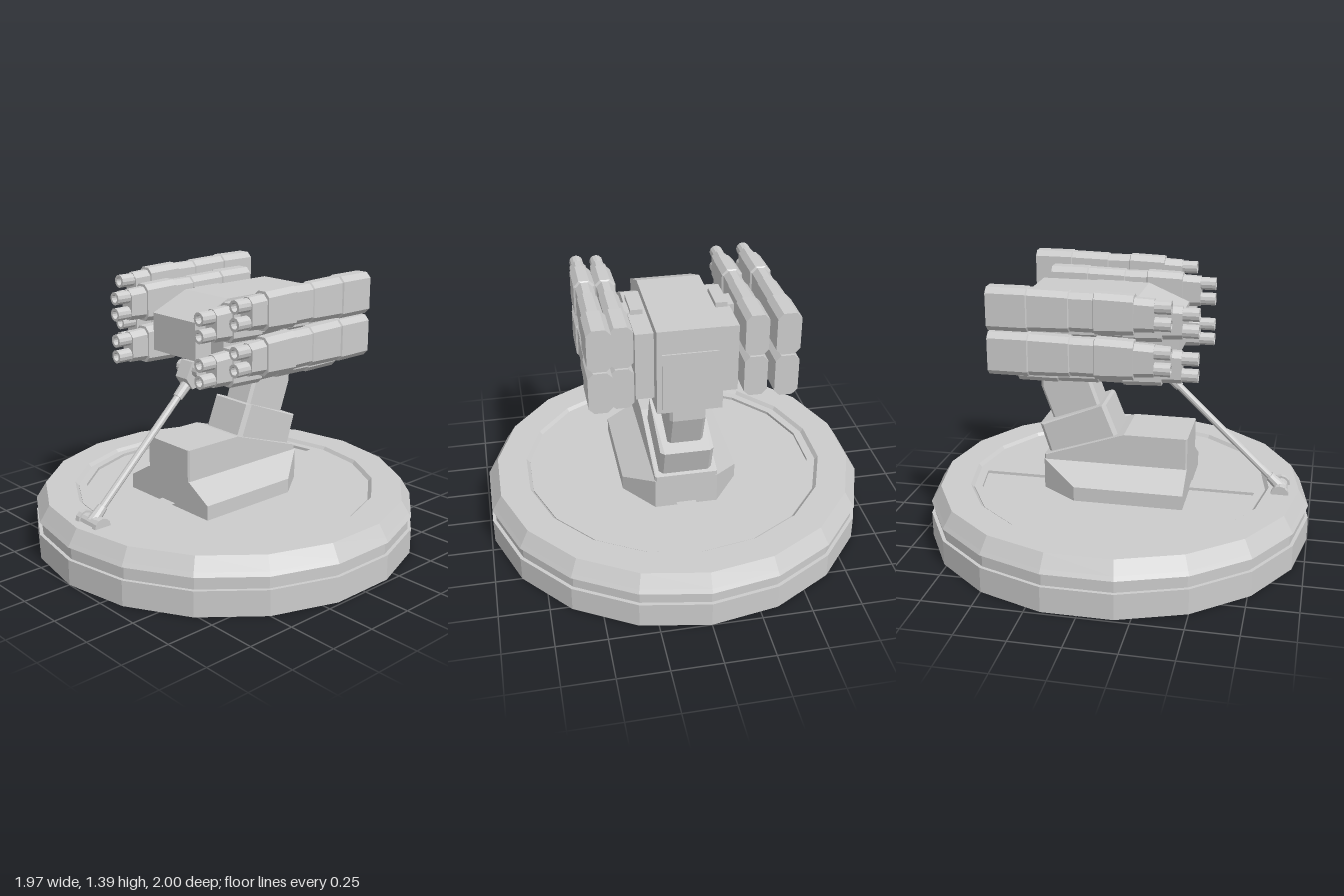
import * as THREE from 'three';
import { ConvexGeometry } from 'three/addons/geometries/ConvexGeometry.js';

const mat = new THREE.MeshStandardMaterial({ color: 0xcccccc, flatShading: true });
const matDouble = new THREE.MeshStandardMaterial({ color: 0xcccccc, flatShading: true, side: THREE.DoubleSide });

function add(parent, name, geometry, material = mat) {
  const mesh = new THREE.Mesh(geometry, material);
  mesh.name = name;
  parent.add(mesh);
  return mesh;
}

function box(parent, name, w, h, d, x, y, z) {
  return add(parent, name, new THREE.BoxGeometry(w, h, d).translate(x, y, z));
}

// Convex slab from a side profile of [z, y] points between x0 and x1
function slab(parent, name, profile, x0, x1) {
  const pts = [];
  for (const [z, y] of profile) pts.push(new THREE.Vector3(x0, y, z), new THREE.Vector3(x1, y, z));
  return add(parent, name, new ConvexGeometry(pts));
}

// Same, with bevelled long edges: full size in the middle, profile shrunk at the sides
function bevelSlab(parent, name, profile, half, bevel) {
  const cz = profile.reduce((s, p) => s + p[0], 0) / profile.length;
  const pts = [];
  for (const [z, y] of profile) {
    const zi = z - Math.sign(z - cz) * bevel;
    for (const s of [-1, 1]) {
      pts.push(new THREE.Vector3(s * (half - bevel), y, z), new THREE.Vector3(s * half, y, zi));
    }
  }
  return add(parent, name, new ConvexGeometry(pts));
}

// Cylinder between two points
function rod(parent, name, a, b, r0, r1, sides) {
  const dir = b.clone().sub(a);
  const mesh = add(parent, name, new THREE.CylinderGeometry(r1, r0, dir.length(), sides));
  mesh.position.copy(a).add(b).multiplyScalar(0.5);
  mesh.quaternion.setFromUnitVectors(new THREE.Vector3(0, 1, 0), dir.normalize());
  return mesh;
}

// Octagonal loft along z, stations are [z, halfWidth, halfHeight]
function octLoft(stations) {
  const pos = [], idx = [];
  for (const [z, w, h] of stations) {
    const c = 0.026;
    const ring = [[w, -h + c], [w, h - c], [w - c, h], [-w + c, h], [-w, h - c], [-w, -h + c], [-w + c, -h], [w - c, -h]];
    for (const [x, y] of ring) pos.push(x, y, z);
  }
  const n = stations.length;
  for (let s = 0; s < n - 1; s++) {
    for (let i = 0; i < 8; i++) {
      const a = s * 8 + i, b = s * 8 + (i + 1) % 8;
      idx.push(a, b, b + 8, a, b + 8, a + 8);
    }
  }
  const e = (n - 1) * 8;
  for (let i = 1; i < 7; i++) idx.push(0, i + 1, i, e, e + i, e + i + 1);
  const g = new THREE.BufferGeometry();
  g.setAttribute('position', new THREE.Float32BufferAttribute(pos, 3));
  g.setIndex(idx);
  g.computeVertexNormals();
  return g;
}

// Round turntable with groove, bevelled lip and recessed deck
function buildBase() {
  const base = new THREE.Group();
  base.name = 'base';
  const profile = [[0, 0], [1, 0], [1, 0.13], [0.982, 0.13], [0.982, 0.195], [0.998, 0.195], [0.985, 0.215],
    [0.945, 0.28], [0.79, 0.28], [0.775, 0.262], [0.765, 0.25], [0, 0.25]].map(p => new THREE.Vector2(...p));
  add(base, 'turntable', new THREE.LatheGeometry(profile, 18), matDouble);

  // Deck frame with two sunken half-round panels and a bar between them
  const outline = r => Array.from({ length: 18 }, (_, i) =>
    new THREE.Vector2(r * Math.sin(i * Math.PI / 9), r * Math.cos(i * Math.PI / 9)));
  const deck = new THREE.Shape(outline(0.772));
  const inner = outline(0.73);
  for (const s of [1, -1]) {
    const pts = inner.slice(1, 9).map(p => new THREE.Vector2(s * p.x, p.y));
    pts.unshift(new THREE.Vector2(s * 0.05, 0.721));
    pts.push(new THREE.Vector2(s * 0.05, -0.721));
    deck.holes.push(new THREE.Path(pts));
  }
  const g = new THREE.ExtrudeGeometry(deck, { depth: 0.017, bevelEnabled: false });
  add(base, 'deckFrame', g.rotateX(-Math.PI / 2).translate(0, 0.248, 0));
  return base;
}

// Pedestal with flared feet and the two-stage leaning arm
function buildPedestal() {
  const group = new THREE.Group();
  group.name = 'pedestal';
  bevelSlab(group, 'pedestalBody', [[0.38, 0.25], [0.38, 0.575], [0.06, 0.575], [-0.37, 0.435], [-0.37, 0.25]], 0.16, 0.008);
  const feet = [];
  for (const s of [-1, 1]) {
    for (const [x, y, z] of [[0.3, 0.25, 0.38], [0.3, 0.325, 0.38], [0.3, 0.25, -0.18], [0.3, 0.325, -0.18],
      [0.16, 0.25, -0.37], [0.16, 0.41, -0.37], [0.16, 0.41, 0.38]]) feet.push(new THREE.Vector3(s * x, y, z));
  }
  add(group, 'flaredFeet', new ConvexGeometry(feet));
  bevelSlab(group, 'lowerArm', [[-0.05, 0.715], [-0.4, 0.59], [-0.345, 0.42], [0.02, 0.54]], 0.135, 0.02);
  bevelSlab(group, 'upperArm', [[-0.08, 0.68], [-0.16, 0.9], [-0.4, 0.9], [-0.4, 0.78], [-0.33, 0.59]], 0.09, 0.015);
  return group;
}

// Central housing with side boxes and top fins
function buildTurret() {
  const group = new THREE.Group();
  group.name = 'turret';
  slab(group, 'housing', [[-0.44, 1.3], [0.12, 1.3], [0.33, 1.21], [0.33, 1.02], [-0.1, 0.86], [-0.44, 0.86]], -0.16, 0.16);
  box(group, 'rearPanel', 0.27, 0.3, 0.012, 0, 1.03, -0.442);
  for (const s of [-1, 1]) {
    slab(group, 'sideBox', [[-0.37, 1.26], [0.08, 1.26], [0.23, 1.19], [0.23, 1.03], [-0.05, 0.91], [-0.37, 0.91]], s * 0.15, s * 0.25);
    box(group, 'topFin', 0.06, 0.04, 0.17, s * 0.208, 1.265, -0.085);
    for (const y of [1.04, 1.24]) box(group, 'podMount', 0.25, 0.05, 0.12, s * 0.315, y, -0.1);
  }
  return group;
}

// One launcher pod: stepped octagonal body with two stacked tubes
function buildPod() {
  const pod = new THREE.Group();
  pod.name = 'launcherPod';
  add(pod, 'podBody', octLoft([[-0.545, 0.057, 0.105], [-0.35, 0.057, 0.105], [-0.345, 0.05, 0.102], [-0.15, 0.048, 0.098],
    [-0.145, 0.043, 0.094], [-0.03, 0.043, 0.094], [-0.025, 0.052, 0.1], [0.16, 0.05, 0.094],
    [0.161, 0.042, 0.082], [0.255, 0.04, 0.078]]));
  const tube = [[0, 0.3], [0.021, 0.3], [0.021, 0.333], [0.034, 0.333], [0.034, 0.22]].map(p => new THREE.Vector2(...p));
  for (const s of [-1, 1]) {
    const g = new THREE.LatheGeometry(tube, 12).rotateX(Math.PI / 2).translate(0, s * 0.041, 0);
    add(pod, 'launchTube', g, matDouble);
  }
  return pod;
}

// Slanted support strut from the deck rim to the underside of the turret
function buildStrut() {
  const group = new THREE.Group();
  group.name = 'supportStrut';
  const v = (y, z, x = 0) => new THREE.Vector3(x, y, z);
  const low = v(0.285, 0.855), high = v(0.9, 0.21);
  const at = t => low.clone().lerp(high, t);
  rod(group, 'strutRod', low, high, 0.019, 0.019, 10);
  rod(group, 'strutLowerSocket', low, at(0.1), 0.032, 0.025, 10);
  rod(group, 'strutUpperCollar', at(0.84), high, 0.025, 0.032, 10);
  rod(group, 'footPin', v(0.28, 0.85, -0.06), v(0.28, 0.85, 0.06), 0.036, 0.036, 12);
  for (const s of [-1, 1]) rod(group, 'footPinCap', v(0.28, 0.85, s * 0.055), v(0.28, 0.85, s * 0.082), 0.046, 0.046, 12);
  slab(group, 'upperBracket', [[0.29, 0.9], [0.25, 0.84], [0.08, 0.87], [0.03, 0.92], [0.12, 0.96], [0.25, 0.98]], -0.042, 0.042);
  rod(group, 'upperPin', v(0.935, 0.22, -0.078), v(0.935, 0.22, 0.078), 0.036, 0.036, 12);
  return group;
}

export function createModel() {
  const model = new THREE.Group();
  model.name = 'launcherTurret';
  model.add(buildBase(), buildPedestal(), buildTurret(), buildStrut());
  // Two stacked pods in an inner and an outer column on each side
  for (const s of [-1, 1]) {
    for (const [x, y, z] of [[0.322, 1.23, 0.115], [0.322, 1.012, 0.115], [0.437, 1.288, 0], [0.437, 1.07, 0]]) {
      const pod = buildPod();
      pod.position.set(s * x, y, z);
      model.add(pod);
    }
  }
  return model;
}
